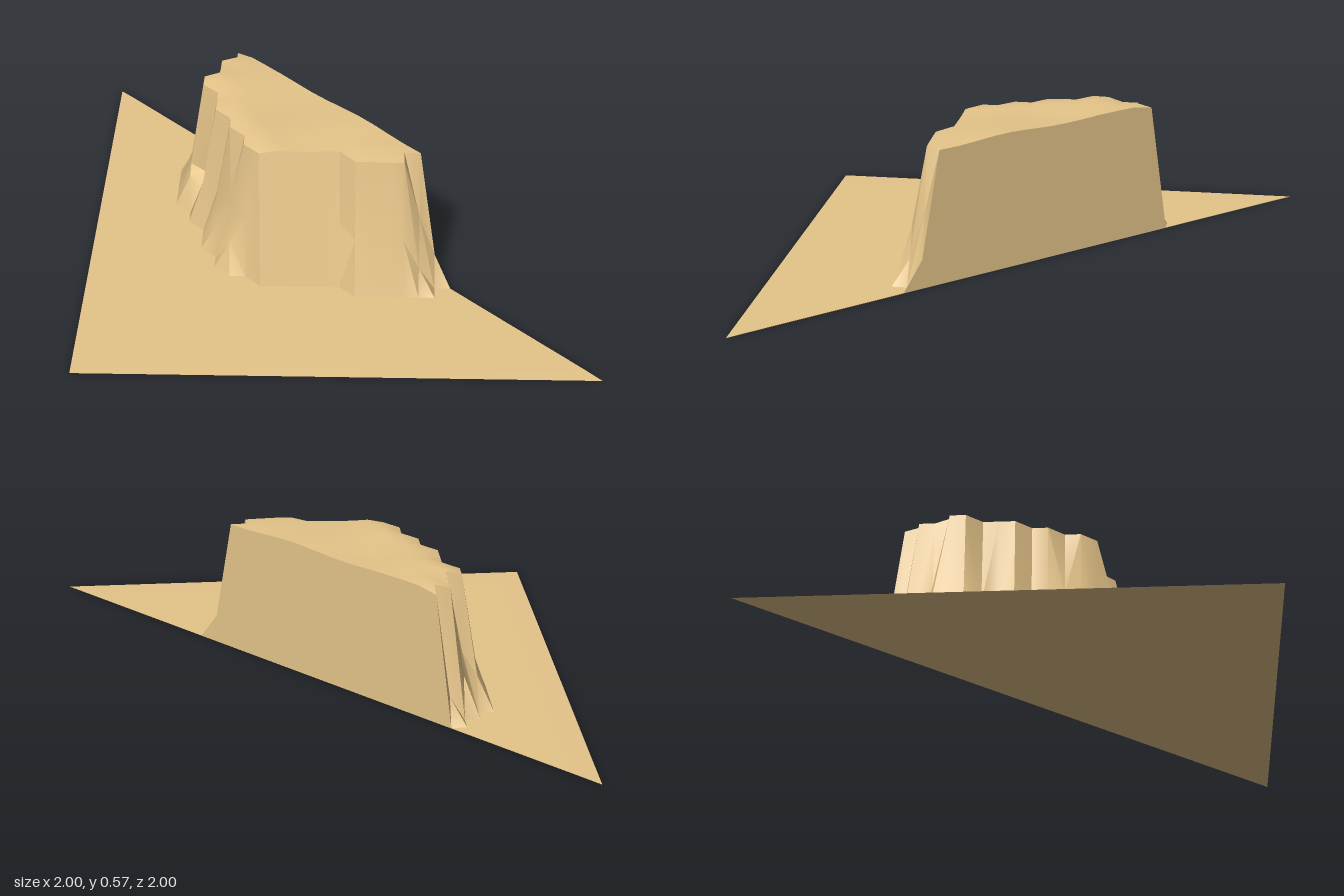
import * as THREE from 'three';
import { toCreasedNormals } from 'three/addons/utils/BufferGeometryUtils.js';

// Grid of 32 x 32 cells, step 1/16; only the half with x <= z exists.
const N = 16, STEP = 1 / 16;

// For each grid row from z = -7: last ground column, first plateau column
const CLIFF_ROWS = [
  [-9, -7], [-10, -8], [-11, -8], [-11, -9], [-11, -9], [-11, -8], [-10, -8],
  [-10, -8], [-9, -7], [-9, -7], [-9, -6], [-8, -6], [-8, -5],
];

// Repeatable small variation in 0..1
const hash = (i, j) => {
  const s = Math.sin(i * 127.1 + j * 311.7) * 43758.5453;
  return s - Math.floor(s);
};

const plateau = (i, j) =>
  0.561 + 0.004 * Math.sin(i * 0.75 + 0.6) + 0.003 * Math.sin(j * 0.9 + i * 0.3);

// Ground lies just above the underside and meets it at the outer edges
const ground = (i, j) => (i === -N || j === N ? 0 : 0.002);

// Height of the land at a grid node
function height(i, j) {
  if (j >= -7 && j <= 5) {
    const [low, top] = CLIFF_ROWS[j + 7];
    if (i <= low) return ground(i, j);
    if (i === top) return 0.545;
    if (i > top) return plateau(i, j);
    // jagged cliff face
    return 0.56 * (i - low) / (top - low) * (0.35 + 0.45 * hash(i, j));
  }
  // front wall: two straight runs, the right one a step further forward
  if (j === 6) {
    if (i >= -5 && i <= 0) return 0.27;
    if (i >= 1 && i <= 4) return plateau(i, j) - 0.01;
    if (i === 5) return 0.3;
    if (i === 6) return 0.12;
  }
  if (j === 7) {
    if (i >= 1 && i <= 4) return 0.23;
    if (i === 5) return 0.1;
  }
  return ground(i, j);
}

const node = (i, j) => [i * STEP, height(i, j), j * STEP];
const foot = (i) => [i * STEP, 0, i * STEP];

function meshFrom(name, corners, material, crease) {
  let geometry = new THREE.BufferGeometry();
  geometry.setAttribute('position', new THREE.Float32BufferAttribute(corners.flat(), 3));
  geometry.computeVertexNormals();
  if (crease) geometry = toCreasedNormals(geometry, crease);
  const mesh = new THREE.Mesh(geometry, material);
  mesh.name = name;
  return mesh;
}

export function createModel() {
  const sand = new THREE.MeshStandardMaterial({ color: 0xe5c489 });
  sand.name = 'sand';
  const group = new THREE.Group();
  group.name = 'mesaTerrain';

  // Ground, cliffs and plateau as one stepped height field
  const land = [];
  for (let j = -N; j < N; j++) {
    for (let i = -N; i <= j; i++) {
      land.push(node(i, j), node(i, j + 1), node(i + 1, j + 1));
      if (i < j) land.push(node(i, j), node(i + 1, j + 1), node(i + 1, j));
    }
  }
  group.add(meshFrom('land', land, sand, 0.7));

  // Flat vertical face where the land is cut along the diagonal
  const cut = [];
  for (let i = -N; i < N; i++) {
    if (height(i + 1, i + 1) > 0) cut.push(foot(i), node(i + 1, i + 1), foot(i + 1));
    if (height(i, i) > 0) cut.push(foot(i), node(i, i), node(i + 1, i + 1));
  }
  group.add(meshFrom('cutFace', cut, sand));

  // Underside
  group.add(meshFrom('underside', [[-1, 0, -1], [1, 0, 1], [-1, 0, 1]], sand));
  return group;
}
